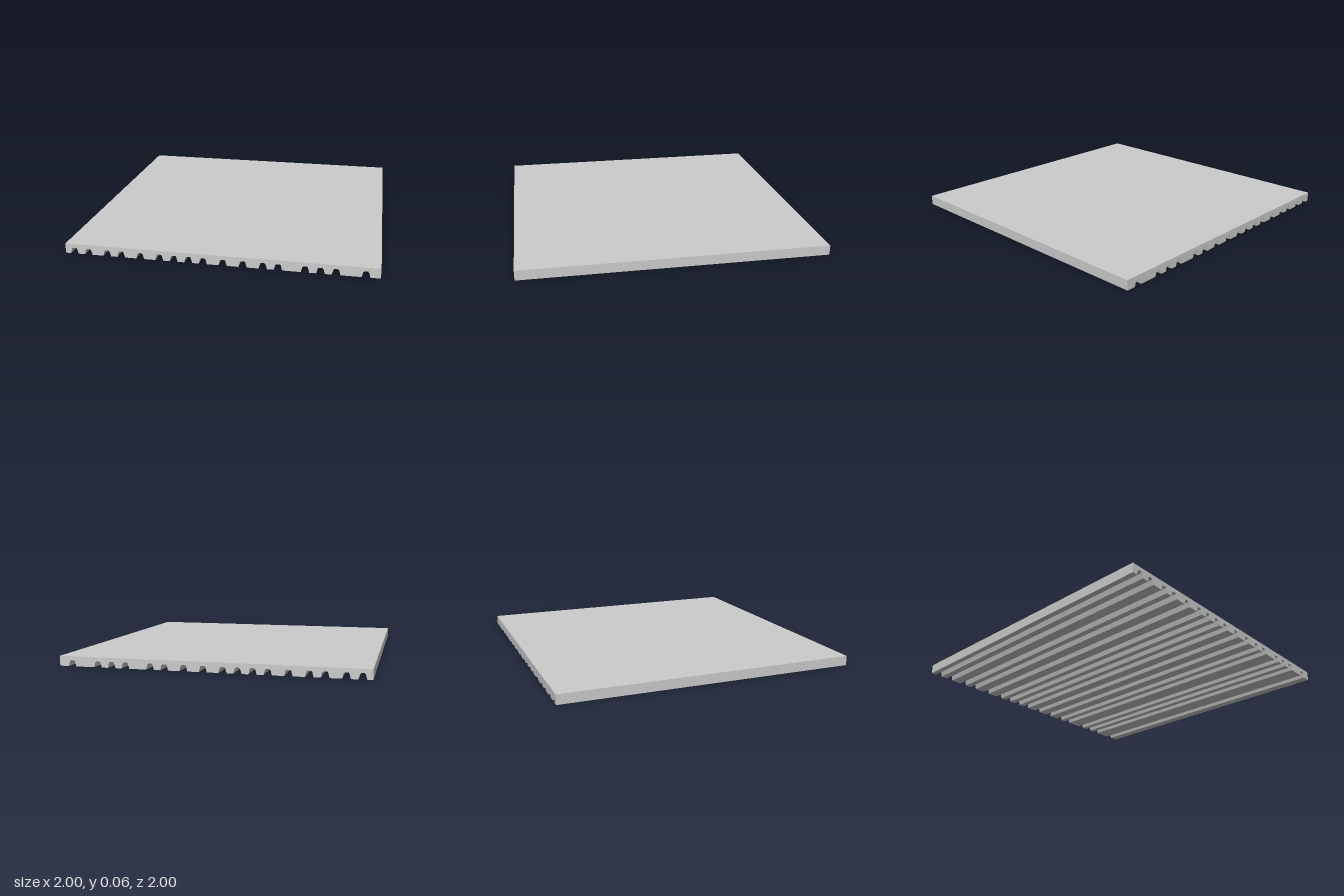
import * as THREE from 'three';

export function createModel() {
  const group = new THREE.Group();
  const height = 0.065;

  // Centre lines of the grooves, irregularly spaced across the underside
  const grooves = [-0.94, -0.845, -0.72, -0.626, -0.5, -0.374, -0.28, -0.186, -0.092,
    0.034, 0.16, 0.286, 0.38, 0.546, 0.64, 0.734, 0.912];

  // Half profile of one groove: tapered walls with a softened roof
  const half = [[0.026, 0], [0.017, 0.033], [0.011, 0.039]];
  const profile = [...half.map(([x, y]) => [-x, y]), ...half.slice().reverse()];

  // Cross-section of the slab with the grooves cut into its lower edge
  const section = new THREE.Shape();
  section.moveTo(-1, 0);
  for (const c of grooves) for (const [x, y] of profile) section.lineTo(c + x, y);
  section.lineTo(1, 0);
  section.lineTo(1, height);
  section.lineTo(-1, height);
  section.closePath();

  const geometry = new THREE.ExtrudeGeometry(section, { depth: 2, bevelEnabled: false });
  geometry.translate(0, 0, -1);
  const slab = new THREE.Mesh(geometry,
    new THREE.MeshStandardMaterial({ color: 0xcccccc, flatShading: true }));
  slab.name = 'groovedPanel';
  group.add(slab);
  return group;
}
